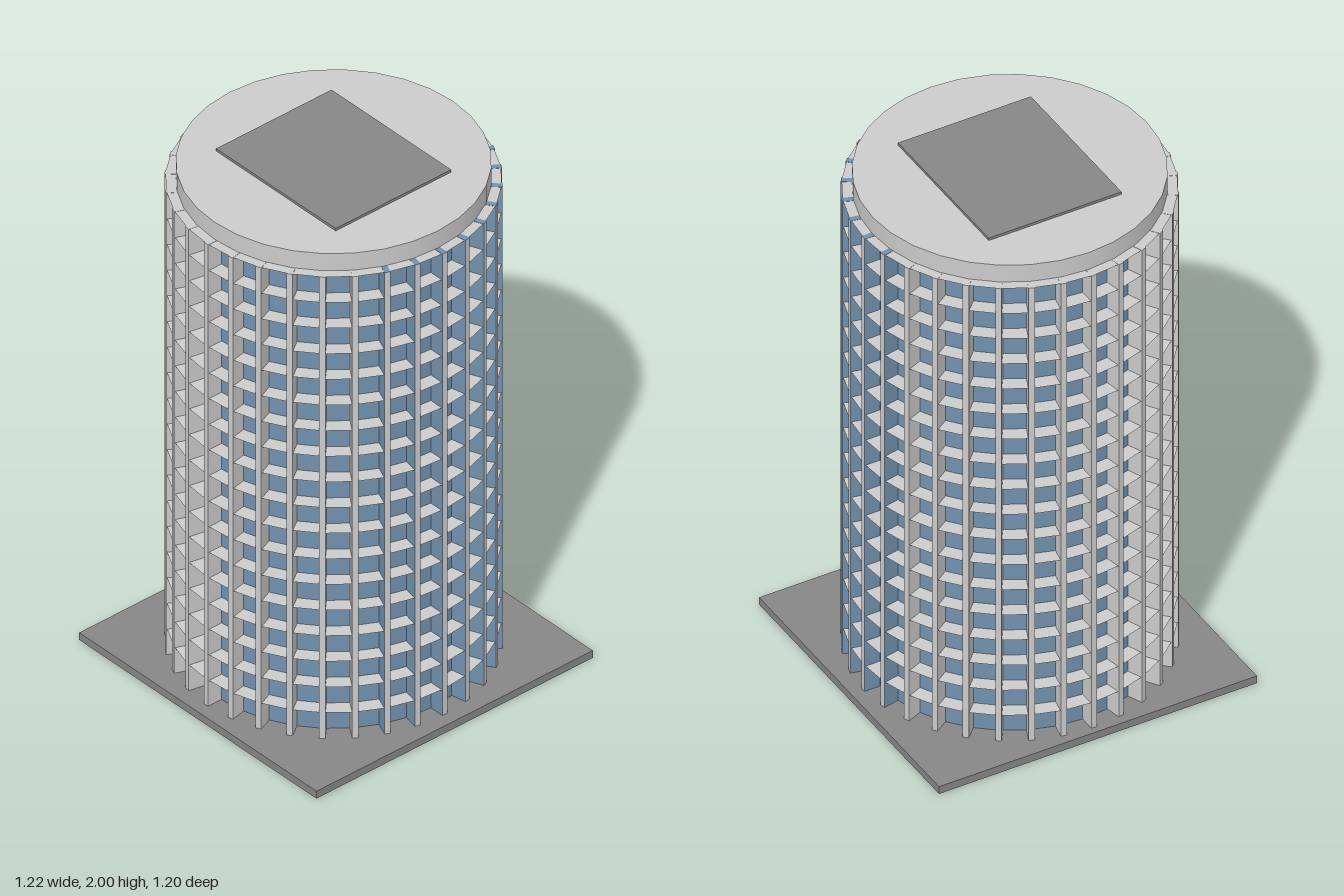
import * as THREE from 'three';

const BAYS = 32, FLOORS = 18;
const BASE_TOP = 0.03, ROOF = 1.92;
const GLASS_R = 0.505, OUTER_R = 0.563;

export function createModel() {
  const model = new THREE.Group();
  const grey = new THREE.MeshStandardMaterial({ color: 0xcccccc });
  const greyThin = new THREE.MeshStandardMaterial({ color: 0xcccccc, side: THREE.DoubleSide });
  const dark = new THREE.MeshStandardMaterial({ color: 0x878787 });
  const blue = new THREE.MeshStandardMaterial({ color: 0x7191ad, flatShading: true });

  const add = (parent, name, geometry, material, x = 0, y = 0, z = 0) => {
    const mesh = new THREE.Mesh(geometry, material);
    mesh.name = name;
    mesh.position.set(x, y, z);
    parent.add(mesh);
    return mesh;
  };

  // Square ground plate
  add(model, 'basePlate', new THREE.BoxGeometry(1.22, BASE_TOP, 1.2), dark, 0, BASE_TOP / 2, 0);

  // Tower stands slightly behind the middle of the plate
  const tower = new THREE.Group();
  tower.name = 'tower';
  tower.position.z = -0.012;
  model.add(tower);

  // Faceted glass core
  const height = ROOF - BASE_TOP, midY = (ROOF + BASE_TOP) / 2;
  add(tower, 'glassWall', new THREE.CylinderGeometry(GLASS_R, GLASS_R, height, BAYS), blue, 0, midY, 0);

  // Paper-thin floor ledges between the fins
  const ledge = new THREE.RingGeometry(GLASS_R - 0.005, OUTER_R - 0.002, BAYS).rotateX(-Math.PI / 2);
  for (let i = 1; i <= FLOORS; i++) {
    add(tower, 'floorLedge', ledge, greyThin, 0, BASE_TOP + (height * i) / FLOORS - 0.001, 0);
  }

  // Radial fins; those on the front-left run have blue sides and a grey outer face
  const depth = OUTER_R - GLASS_R + 0.01;
  const finGeometry = new THREE.BoxGeometry(depth, height, 0.021).translate(OUTER_R - depth / 2, 0, 0);
  const blueSided = [grey, blue, blue, blue, blue, blue];
  for (let i = -1; i < BAYS - 1; i++) {
    const fin = add(tower, 'verticalFin', finGeometry, i <= 10 ? blueSided : grey, 0, midY, 0);
    fin.rotation.y = (-i * Math.PI * 2) / BAYS;
  }

  // Roof disc and plain landing pad
  add(tower, 'roofDisc', new THREE.CylinderGeometry(0.526, 0.526, 0.07, BAYS), grey, 0, ROOF + 0.035, 0);
  add(tower, 'landingPad', new THREE.BoxGeometry(0.51, 0.01, 0.605), dark, 0, 1.995, 0);

  return model;
}
